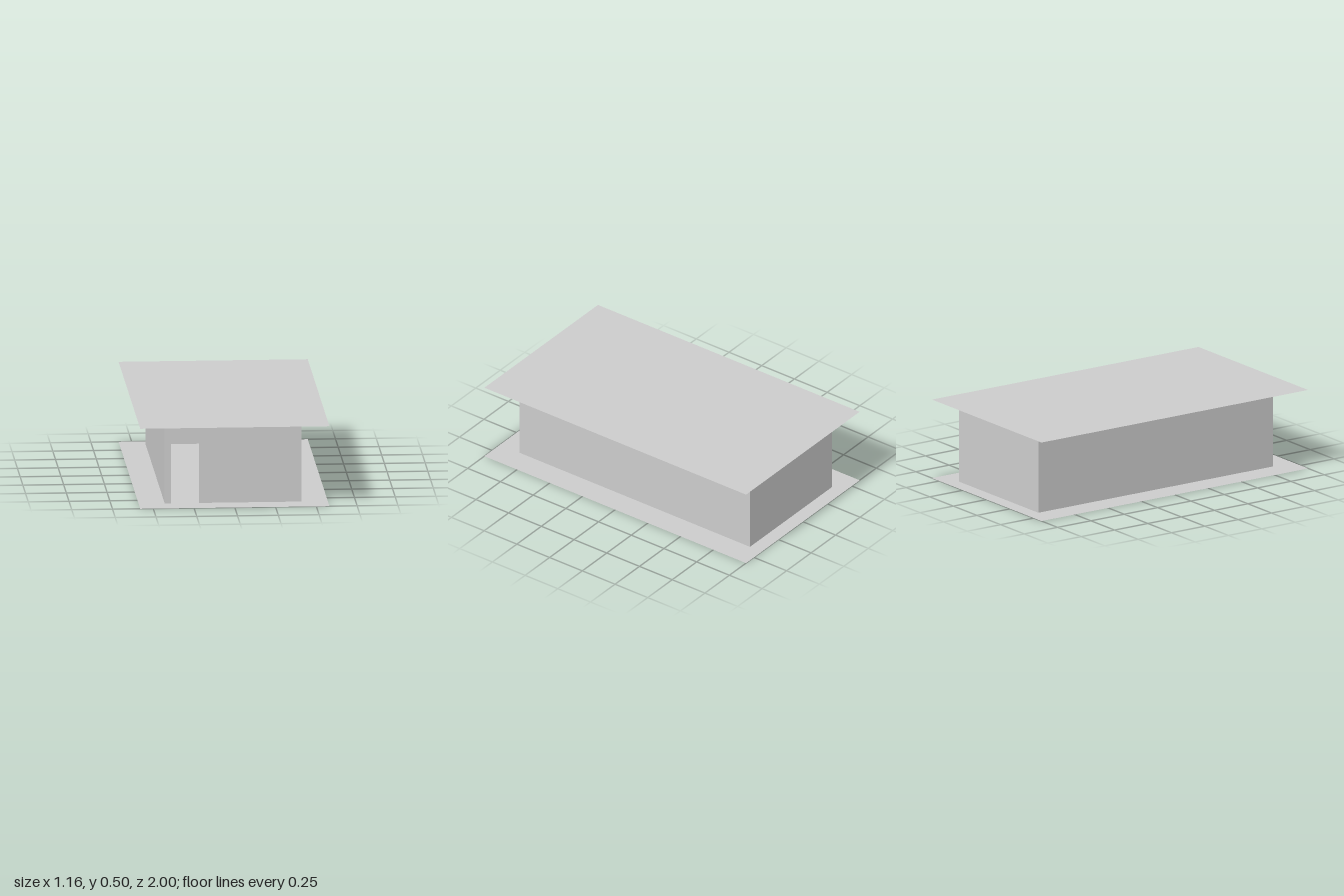
import * as THREE from 'three';

export function createModel() {
  const model = new THREE.Group();
  const grey = new THREE.MeshStandardMaterial({ color: 0xcccccc, side: THREE.DoubleSide });
  grey.name = 'light grey';

  const halfX = 0.42, height = 0.5, frontZ = 0.85, backZ = -0.91;
  const depth = frontZ - backZ, midZ = (frontZ + backZ) / 2;

  const add = (name, geometry, position, rotation = [0, 0, 0]) => {
    const mesh = new THREE.Mesh(geometry, grey);
    mesh.name = name;
    mesh.position.set(...position);
    mesh.rotation.set(...rotation);
    model.add(mesh);
  };

  // Floor and overhanging flat roof: thin sheets
  for (const [name, y] of [['floor', 0], ['roof', height]]) {
    add(name, new THREE.PlaneGeometry(1.16, 2), [0, y, 0], [-Math.PI / 2, 0, 0]);
  }

  // Side walls
  for (const [name, side] of [['leftWall', 1], ['rightWall', -1]]) {
    add(name, new THREE.PlaneGeometry(depth, height),
      [side * halfX, height / 2, midZ], [0, side * Math.PI / 2, 0]);
  }

  // Back wall
  add('backWall', new THREE.PlaneGeometry(halfX * 2, height), [0, height / 2, backZ], [0, Math.PI, 0]);

  // Front wall, notched for the open doorway
  const front = new THREE.Shape([
    [-halfX, 0], [-0.38, 0], [-0.38, 0.42], [-0.21, 0.42], [-0.21, 0],
    [halfX, 0], [halfX, height], [-halfX, height],
  ].map(([x, y]) => new THREE.Vector2(x, y)));
  add('frontWall', new THREE.ShapeGeometry(front), [0, 0, frontZ]);

  return model;
}
